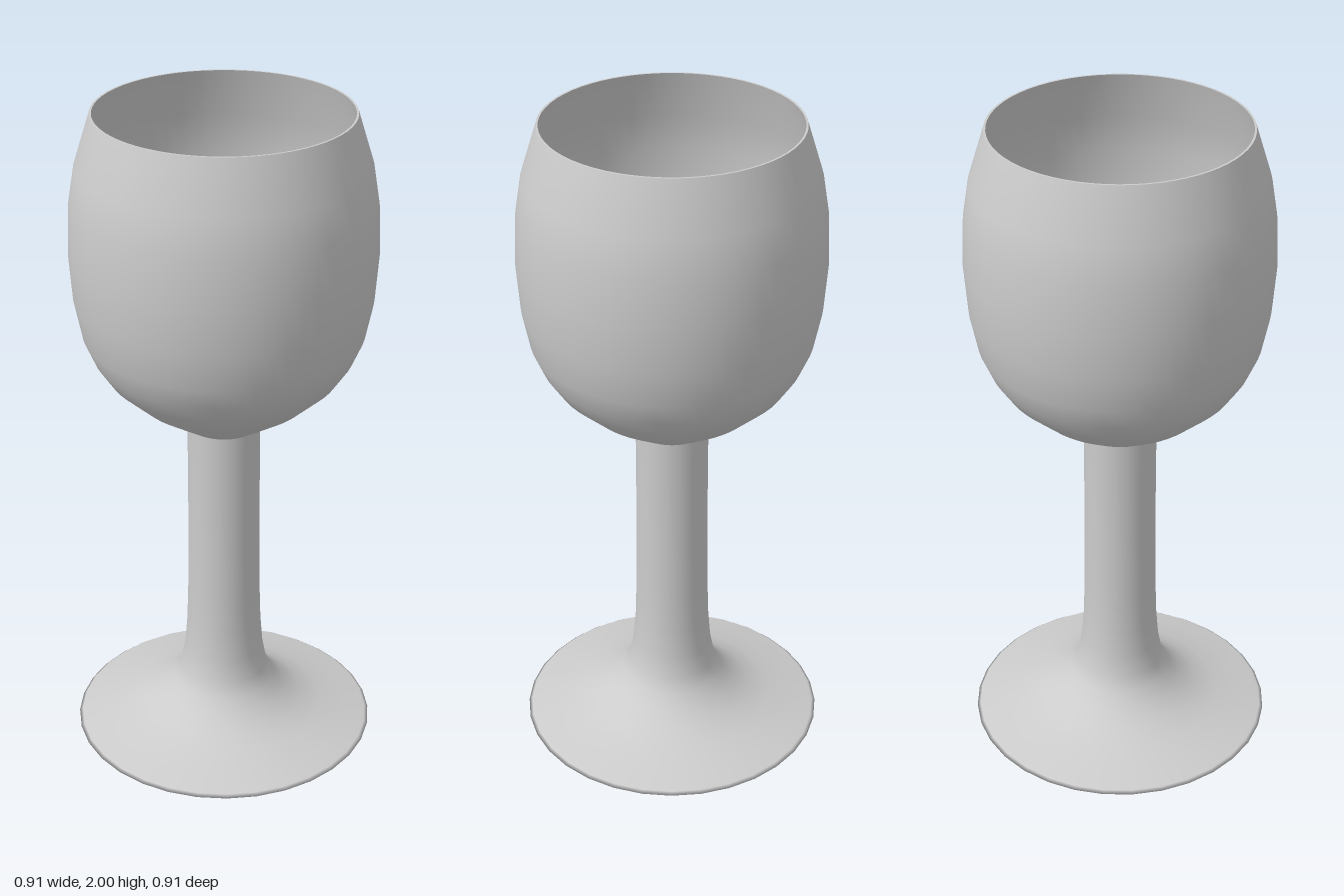
import * as THREE from 'three';

const material = new THREE.MeshStandardMaterial({ color: 0xcccccc, side: THREE.DoubleSide });

// Turned part from [radius, height] pairs
function turned(name, profile, segments) {
  const points = profile.map(([r, y]) => new THREE.Vector2(r, y));
  const mesh = new THREE.Mesh(new THREE.LatheGeometry(points, segments), material);
  mesh.name = name;
  return mesh;
}

export function createModel() {
  const goblet = new THREE.Group();
  goblet.name = 'goblet';

  // Foot: flat underside and a coarser faceted edge
  goblet.add(turned('footUnderside', [[0, 0], [0.41, 0]], 32));
  goblet.add(turned('footEdge', [[0.41, 0], [0.457, 0.022], [0.447, 0.03], [0.4, 0.04]], 32));

  // Flared foot top running up into the stem
  goblet.add(turned('stem', [
    [0.442, 0.032], [0.38, 0.048], [0.3, 0.07], [0.24, 0.096], [0.19, 0.13],
    [0.155, 0.17], [0.133, 0.21], [0.12, 0.28], [0.113, 0.37], [0.109, 0.5],
    [0.107, 0.75], [0.107, 1.047],
  ], 64));

  // Bowl outer wall
  goblet.add(turned('bowlOutside', [
    [0.107, 1.047], [0.18, 1.095], [0.25, 1.142], [0.335, 1.22], [0.375, 1.28],
    [0.405, 1.35], [0.427, 1.46], [0.437, 1.6], [0.431, 1.74], [0.413, 1.85], [0.366, 2],
  ], 64));

  // Thin lip, inner wall and rounded floor
  goblet.add(turned('bowlLip', [[0.366, 2], [0.36, 2]], 64));
  goblet.add(turned('bowlInside', [
    [0.36, 2], [0.407, 1.85], [0.424, 1.74], [0.43, 1.6], [0.42, 1.46], [0.398, 1.355],
    [0.368, 1.287], [0.328, 1.228], [0.245, 1.152], [0.175, 1.105], [0.1, 1.058],
    [0.05, 1.036], [0, 1.03],
  ], 64));

  return goblet;
}
